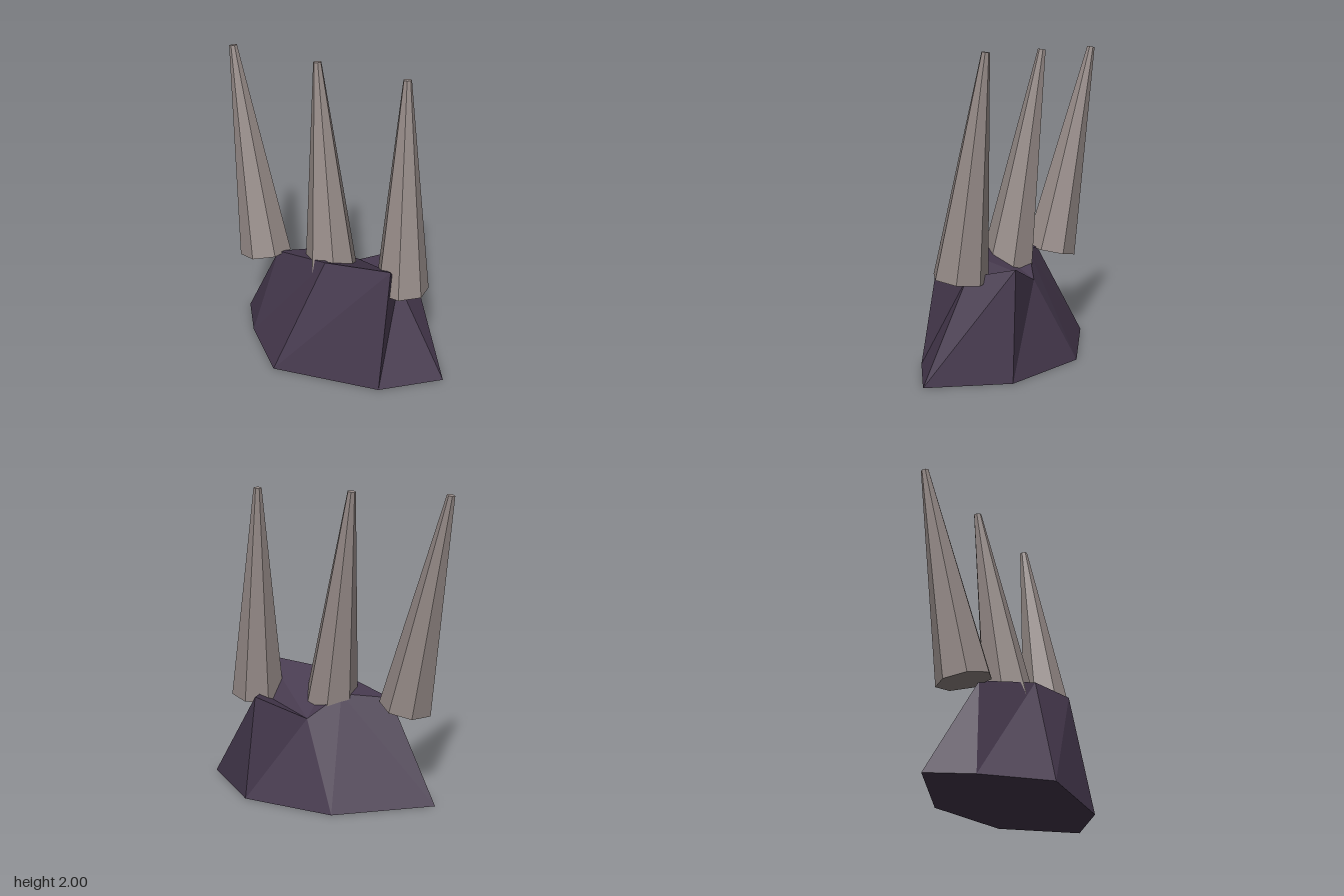
import * as THREE from 'three';

const rockMaterial = new THREE.MeshStandardMaterial({ color: 0x46394e, flatShading: true });
rockMaterial.name = 'dark purple rock';
const spikeMaterial = new THREE.MeshStandardMaterial({ color: 0x958a87, flatShading: true });
spikeMaterial.name = 'grey bone';

// Irregular seven-sided rock: a floor ring joined to an uneven top ring
function createRock() {
  const floor = [
    [0.825, 0, 0.03], [0.49, 0, 0.32], [-0.23, 0, 0.445], [-0.575, 0, 0.13],
    [-0.755, 0, -0.12], [-0.16, 0, -0.45], [0.45, 0, -0.37],
  ];
  const crown = [
    [0.455, 0.62, -0.03], [0.48, 0.825, 0.16], [0.02, 0.765, 0.17], [-0.41, 0.65, 0.03],
    [-0.12, 0.69, -0.1], [0.06, 0.555, -0.26], [0.38, 0.695, -0.34],
  ];
  const n = floor.length;
  const index = [];
  for (let i = 0; i < n; i++) {
    const j = (i + 1) % n;
    index.push(i, n + i, j, n + i, n + j, j); // side
    if (i > 0 && i < n - 1) index.push(0, i, i + 1); // underside
  }
  // Top facets, dipping towards the notch on the left side
  for (const [a, b, c] of [[0, 5, 6], [0, 1, 5], [1, 2, 5], [2, 4, 5], [2, 3, 4]]) {
    index.push(n + a, n + c, n + b);
  }
  const indexed = new THREE.BufferGeometry();
  indexed.setAttribute('position', new THREE.Float32BufferAttribute([...floor, ...crown].flat(), 3));
  indexed.setIndex(index);
  const geometry = indexed.toNonIndexed();
  geometry.computeVertexNormals();
  const rock = new THREE.Mesh(geometry, rockMaterial);
  rock.name = 'rockBase';
  return rock;
}

// Tapered seven-sided spike between two points, turned about its own axis
function createSpike(name, bottom, tip, turn) {
  const axis = tip.clone().sub(bottom);
  const geometry = new THREE.CylinderGeometry(0.026, 0.176, axis.length(), 7);
  geometry.rotateY(turn);
  const spike = new THREE.Mesh(geometry, spikeMaterial);
  spike.name = name;
  spike.position.copy(bottom).add(tip).multiplyScalar(0.5);
  spike.quaternion.setFromUnitVectors(new THREE.Vector3(0, 1, 0), axis.normalize());
  return spike;
}

export function createModel() {
  const model = new THREE.Group();
  model.name = 'spikedRock';
  model.add(createRock());

  // Name, bottom x, tip x, turn
  const spikes = [
    ['rightSpike', -0.525, -0.802, 0],
    ['middleSpike', -0.02, -0.193, -0.31],
    ['leftSpike', 0.49, 0.414, 0.3],
  ];
  for (const [name, bottomX, tipX, turn] of spikes) {
    const bottom = new THREE.Vector3(bottomX, 0.612, 0);
    const tip = new THREE.Vector3(tipX, 1.996, -0.145);
    model.add(createSpike(name, bottom, tip, turn));
  }
  return model;
}
